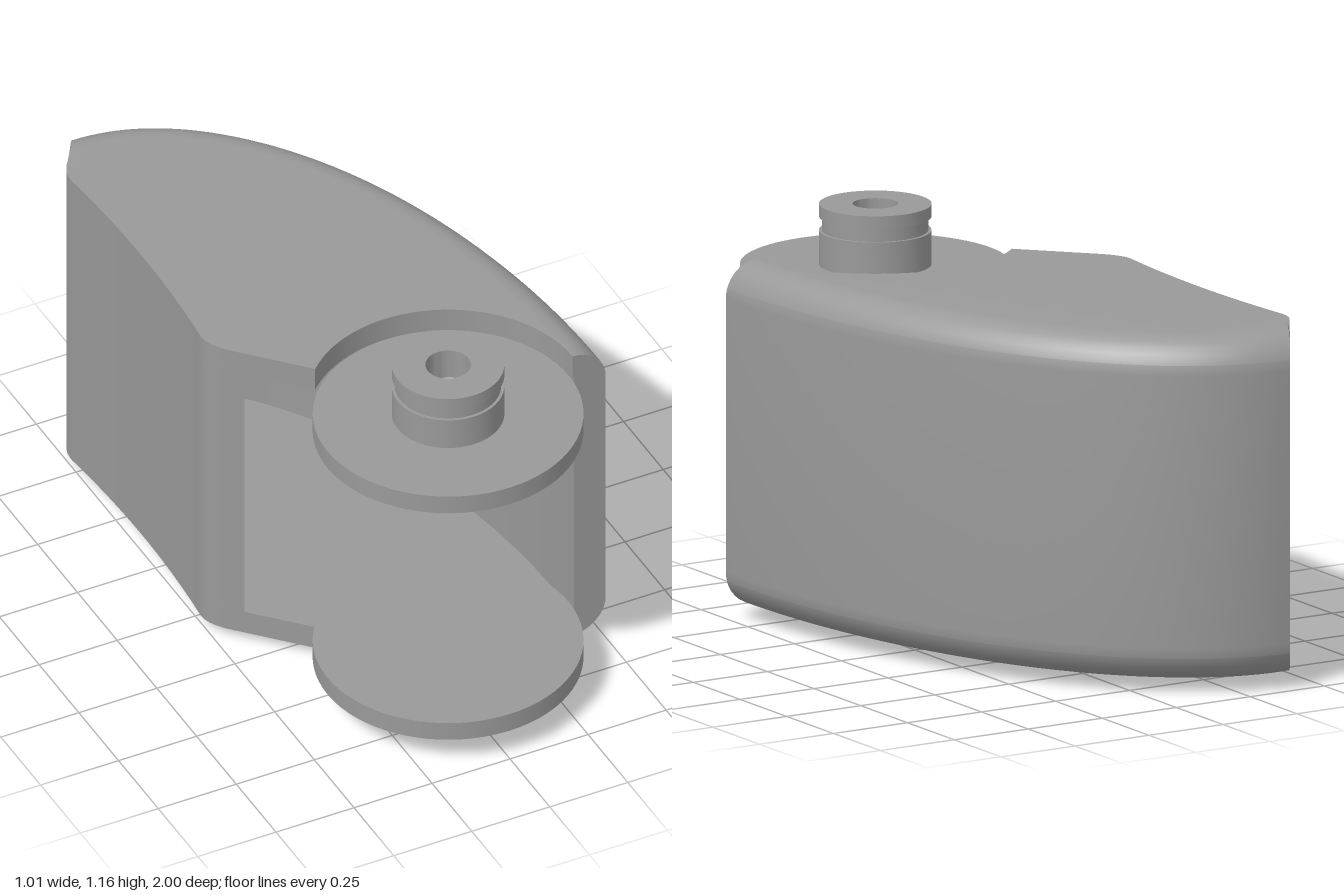
import * as THREE from 'three';
import { toCreasedNormals } from 'three/addons/utils/BufferGeometryUtils.js';

const grey = new THREE.MeshStandardMaterial({ color: 0x999999 });
grey.name = 'plain grey';

const BASE = 0.035, TOP = 1.045, WALL = 0.075, FILLET = 0.105, AXIS_Z = 0.61;
const v = (x, z) => new THREE.Vector2(x, z);

// Convex outer curve in plan, from the rear tip to the front end, moved inward
function outerCurve(startX, inset) {
  const pts = [], n = 48, a = 0.905, b = 1.61;
  const start = Math.asin((startX + 0.4) / a);
  for (let i = 0; i <= n; i++) {
    const t = start + (Math.PI / 2 - start) * i / n;
    const normal = v(Math.sin(t) / a, -Math.cos(t) / b).normalize();
    const d = inset(i / n);
    pts.push(v(-0.4 + a * Math.sin(t) - d * normal.x, AXIS_Z - b * Math.cos(t) - d * normal.y));
  }
  return pts;
}

// Concave side, from the front corner to the rear corner
const hollowSide = (x, bow) => {
  const curve = new THREE.QuadraticBezierCurve(v(x, 0.03), v(x + 2 * bow, -0.36), v(x, -0.75));
  return curve.getPoints(20);
};
const roundCorner = (a, b, c) => new THREE.QuadraticBezierCurve(a, b, c).getPoints(6);

// Outer side of the shell, from the diagonal front face round to the front end
const outside = (inset) => [
  ...roundCorner(v(-0.455, 0.146), v(-0.515, 0.085), v(-0.504, 0.03)),
  ...hollowSide(-0.504, 0.019).slice(1),
  ...roundCorner(v(-0.504, -0.75), v(-0.512, -0.8), v(-0.483, -0.842)).slice(1),
  ...outerCurve(-0.385 - 0.62 * inset, () => inset),
];

// Top or bottom plate with the round clearance for the disc
function plateOutline(inset) {
  const arc = [];
  for (let i = 0; i <= 40; i++) {
    const t = -Math.PI * 0.75 * i / 40;
    arc.push(v(0.399 * Math.cos(t), AXIS_Z + 0.399 * Math.sin(t)));
  }
  return [...outside(inset), ...arc];
}

// Thin wall, open towards the disc
function wallOutline(inset) {
  const inner = outerCurve(-0.352, (u) => WALL + 0.027 * u ** 4).reverse();
  return [v(-0.43, 0.172), ...outside(inset), ...inner,
    v(-0.421, -0.81), ...hollowSide(-0.43, 0.02).reverse()];
}

// Amount the outer curve draws in at height y, for the rounded rims
function rimInset(y) {
  const d = Math.max(0, FILLET - Math.min(y - BASE, TOP - y));
  return FILLET - Math.sqrt(Math.max(0, FILLET * FILLET - d * d)) - (d >= FILLET - 1e-6 ? 0.001 : 0);
}

// Closed solid from outlines stacked at the given heights
function stack(outline, heights) {
  const loops = heights.map((y) => {
    const pts = outline(rimInset(y));
    return THREE.ShapeUtils.area(pts) < 0 ? pts.reverse() : pts;
  });
  const pos = [];
  const put = (p, y) => pos.push(p.x, y, p.y);
  for (let k = 0; k < loops.length - 1; k++) {
    const lo = loops[k], hi = loops[k + 1], y0 = heights[k], y1 = heights[k + 1];
    for (let i = 0; i < lo.length; i++) {
      const j = (i + 1) % lo.length;
      put(lo[i], y0); put(hi[j], y1); put(lo[j], y0);
      put(lo[i], y0); put(hi[i], y1); put(hi[j], y1);
    }
  }
  for (const k of [0, loops.length - 1]) {
    const pts = loops[k];
    for (const face of THREE.ShapeUtils.triangulateShape(pts, [])) {
      const tri = face.map((i) => pts[i]);
      if ((THREE.ShapeUtils.area(tri) > 0) !== (k === 0)) tri.reverse();
      tri.forEach((p) => put(p, heights[k]));
    }
  }
  const geo = new THREE.BufferGeometry();
  geo.setAttribute('position', new THREE.Float32BufferAttribute(pos, 3));
  return toCreasedNormals(geo, 0.5);
}

export function createModel() {
  const model = new THREE.Group();
  const add = (name, geo, parent = model) => {
    const mesh = new THREE.Mesh(geo, grey);
    mesh.name = name;
    parent.add(mesh);
    return mesh;
  };

  // Curved hollow housing
  const housing = new THREE.Group();
  housing.name = 'housing';
  model.add(housing);
  const lower = [];
  for (let i = 0; i <= 8; i++) {
    const y = BASE + FILLET * (1 - Math.cos(i / 8 * Math.PI / 2));
    if (y < BASE + WALL - 0.005) lower.push(y);
  }
  lower.push(BASE + WALL);
  const mirror = (ys) => ys.map((y) => BASE + TOP - y).reverse();
  const wallLow = [BASE + WALL, 0.125, BASE + FILLET];
  add('bottomPlate', stack(plateOutline, lower), housing);
  add('topPlate', stack(plateOutline, mirror(lower)), housing);
  add('shellWall', stack(wallOutline, [...wallLow, ...mirror(wallLow)]), housing);

  // Pivot discs
  for (const [name, y] of [['bottomDisc', 0.13], ['topDisc', 0.95]]) {
    add(name, new THREE.CylinderGeometry(0.387, 0.387, 0.06, 72)).position.set(0, y, AXIS_Z);
  }

  // Lower stub
  add('bottomStub', new THREE.CylinderGeometry(0.16, 0.16, 0.1, 48)).position.set(0, 0.05, AXIS_Z);

  // Upper stub with a groove and a stepped bore
  const profile = [[0, 1.0], [0.045, 1.0], [0.045, 1.04], [0.065, 1.06], [0.065, 1.157], [0.161, 1.157],
    [0.161, 1.12], [0.152, 1.12], [0.152, 1.08], [0.161, 1.08], [0.161, 0.98]].reverse();
  const stub = new THREE.LatheGeometry(profile.map(([x, y]) => v(x, y)), 48);
  add('topStub', toCreasedNormals(stub, 0.5)).position.z = AXIS_Z;

  return model;
}
